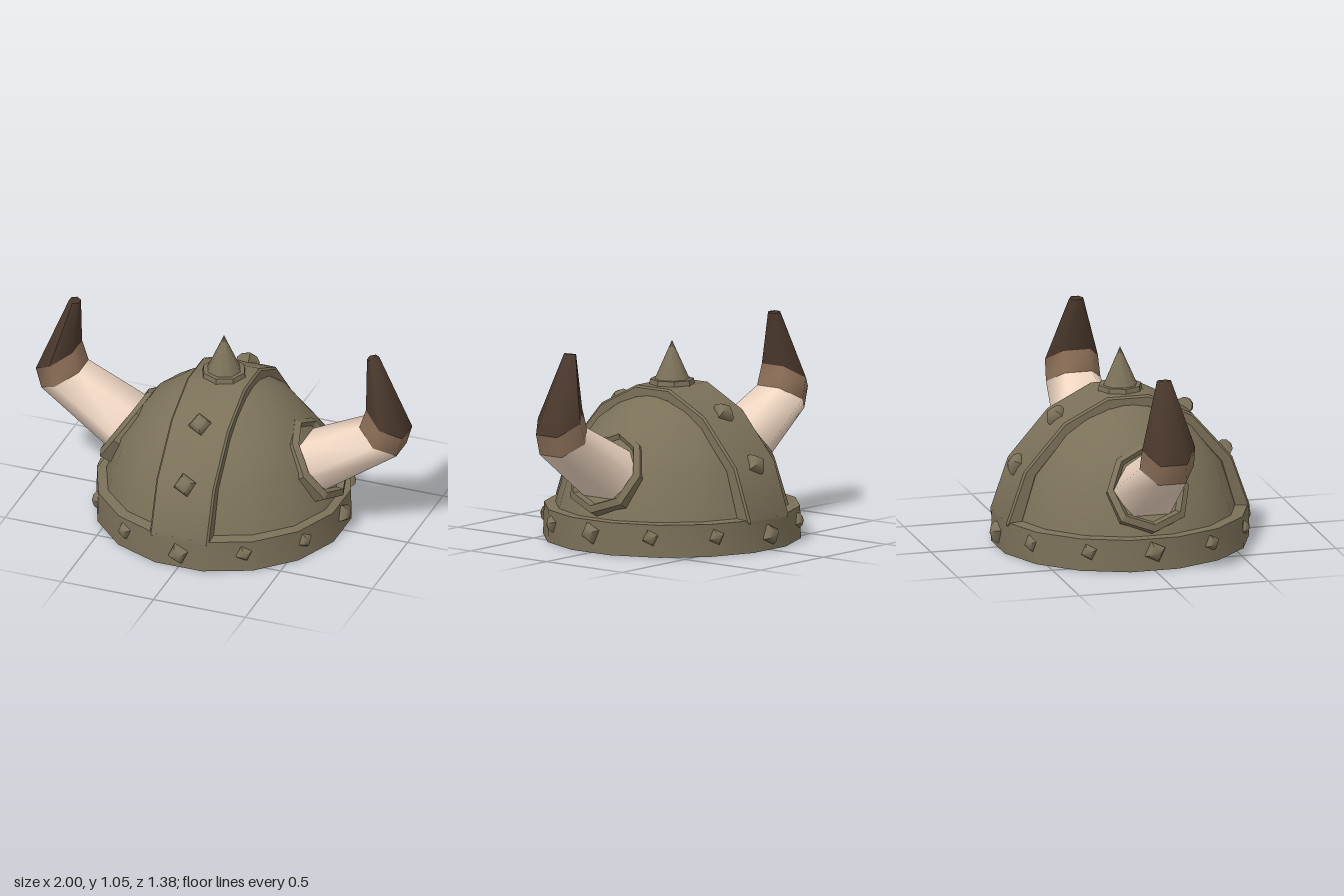
import * as THREE from 'three';
import { toCreasedNormals } from 'three/addons/utils/BufferGeometryUtils.js';

const V2 = (x, y) => new THREE.Vector2(x, y);
const paint = (color, side = THREE.FrontSide) => new THREE.MeshStandardMaterial({ color, side });
const metal = paint(0x7b7159);
const bone = paint(0xf0d7c3);
const brown = paint(0x8b6e57);
const dark = paint(0x47362a);

function add(parent, name, geometry, material, crease = 0.6) {
  const mesh = new THREE.Mesh(toCreasedNormals(geometry, crease), material);
  mesh.name = name;
  parent.add(mesh);
  return mesh;
}

function lathe(points, sides, phase = 0) {
  return new THREE.LatheGeometry(points.map(p => V2(...p)), sides, phase);
}

function polygon(radius, sides, phase) {
  return Array.from({ length: sides }, (_, i) => {
    const a = phase + i / sides * Math.PI * 2;
    return V2(radius * Math.cos(a), radius * Math.sin(a));
  });
}

// Six-sided loft through rings [upper x, y, lower x, y, half depth]
function hexLoft(rings) {
  const positions = [], index = [];
  for (const [ux, uy, lx, ly, r] of rings) {
    for (let i = 0; i < 6; i++) {
      const a = i * Math.PI / 3, s = Math.sin(a) / Math.sin(Math.PI / 3) / 2;
      positions.push((ux + lx) / 2 + (lx - ux) * s, (uy + ly) / 2 + (ly - uy) * s, r * Math.cos(a));
    }
  }
  for (let k = 0; k < rings.length - 1; k++) {
    for (let i = 0; i < 6; i++) {
      const a = k * 6 + i, b = k * 6 + (i + 1) % 6;
      index.push(a, b, b + 6, a, b + 6, a + 6);
    }
  }
  const g = new THREE.BufferGeometry();
  g.setAttribute('position', new THREE.Float32BufferAttribute(positions, 3));
  g.setIndex(index);
  g.computeVertexNormals();
  return g;
}

// Eight-sided collar with a raised lip, narrowing towards its upper end
function collarGeometry() {
  const g = lathe([[0.22, -0.09], [0.236, 0], [0.205, 0.022], [0.18, -0.008], [0, -0.008]], 8);
  const p = g.attributes.position;
  for (let i = 0; i < p.count; i++) p.setZ(i, p.getZ(i) * (0.92 + 0.5 * p.getX(i)));
  return g;
}

export function createModel() {
  const model = new THREE.Group();
  model.name = 'hornedHelmet';

  // Sixteen-sided rim band with an eight-sided opening below
  const phase = Math.PI / 16, liningTurn = 0.17;
  add(model, 'rimBand', lathe([[0.659, 0], [0.655, 0.167], [0.57, 0.174]], 16, phase), metal);
  const under = new THREE.Shape(polygon(0.659, 16, phase));
  under.holes.push(new THREE.Path(polygon(0.54, 8, -liningTurn)));
  add(model, 'rimUnderside', new THREE.ShapeGeometry(under).rotateX(Math.PI / 2), metal);

  // Dome, a little wider than deep, and the shallower lining inside it
  const dome = lathe([[0.592, 0.165], [0.52, 0.41], [0.45, 0.5], [0.37, 0.61], [0.26, 0.69], [0.15, 0.745], [0, 0.77]],
    16, phase);
  add(model, 'dome', dome.scale(1.03, 1, 1), metal);
  add(model, 'lining', lathe([[0.54, 0], [0.49, 0.22], [0.37, 0.42], [0.2, 0.54], [0, 0.58]], 8, liningTurn),
    paint(0x7b7159, THREE.BackSide), 0.9);

  // Raised strip with softened edges, arching from front to back
  const outer = [[0.643, 0.15], [0.643, 0.165], [0.55, 0.43], [0.34, 0.67], [0.11, 0.787]];
  const inner = [[0.56, 0.15], [0.485, 0.405], [0.31, 0.61], [0.1, 0.72]];
  const arch = list => [...list, ...list.map(([x, y]) => [-x, y]).reverse()];
  const stripShape = new THREE.Shape([...arch(outer), ...arch(inner).reverse()].map(p => V2(...p)));
  const strip = new THREE.ExtrudeGeometry(stripShape,
    { depth: 0.3, bevelThickness: 0.01, bevelSize: 0.01, bevelOffset: -0.01, bevelSegments: 1 });
  strip.translate(0, 0, -0.15);
  strip.rotateY(Math.PI / 2);
  add(model, 'crestStrip', strip, metal);

  // Top plate and spike
  add(model, 'spikePlate', new THREE.CylinderGeometry(0.112, 0.118, 0.035, 8).translate(0, 0.795, 0), metal);
  add(model, 'spike', new THREE.ConeGeometry(0.092, 0.205, 8).translate(0, 0.908, 0), metal, 0.9);

  // Studs on the rim and on the strip
  const studGeometry = lathe([[0.056, -0.02], [0.06, 0.01], [0.04, 0.035], [0, 0.047]], 4);
  studGeometry.rotateX(Math.PI / 2);
  const addStud = (name, radius, y, turn, tilt, size = 1) => {
    const stud = add(model, name, studGeometry, metal, 0.9);
    stud.position.set(radius * Math.sin(turn), y, radius * Math.cos(turn));
    stud.rotation.set(-tilt, turn, 0.35, 'YXZ');
    stud.scale.setScalar(size);
  };
  for (let i = 0; i < 12; i++) {
    addStud('rimStud', 0.645, i % 6 === 0 ? 0.08 : 0.1, i * Math.PI / 6, 0, i % 3 === 0 ? 0.95 : 0.74);
  }
  for (const turn of [0, Math.PI]) {
    addStud('stripStud', 0.548, 0.428, turn, 0.52);
    addStud('stripStud', 0.34, 0.67, turn, 0.9);
  }

  // Horns with collars, the second one turned half way round
  for (const [name, turn] of [['leftHorn', 0], ['rightHorn', Math.PI]]) {
    const horn = new THREE.Group();
    horn.name = name;
    horn.rotation.y = turn;

    const collar = add(horn, 'hornCollar', collarGeometry(), metal, 0.5);
    collar.position.set(0.518, 0.4, 0);
    collar.rotation.z = -0.98;

    const ringA = [0.765, 0.668, 0.967, 0.54, 0.144];
    const ringB = [0.8, 0.775, 0.998, 0.647, 0.14];
    const tip = [0.786, 1.044, 0.838, 1.05, 0.037];
    add(horn, 'hornBase', hexLoft([[0.36, 0.46, 0.52, 0.228, 0.2], ringA]), bone, 1.35);
    add(horn, 'hornBand', hexLoft([ringA, ringB]), brown, 1.35);
    add(horn, 'hornTip', hexLoft([ringB, tip, [0.812, 1.047, 0.812, 1.047, 0]]), dark, 1.35);
    model.add(horn);
  }
  return model;
}
